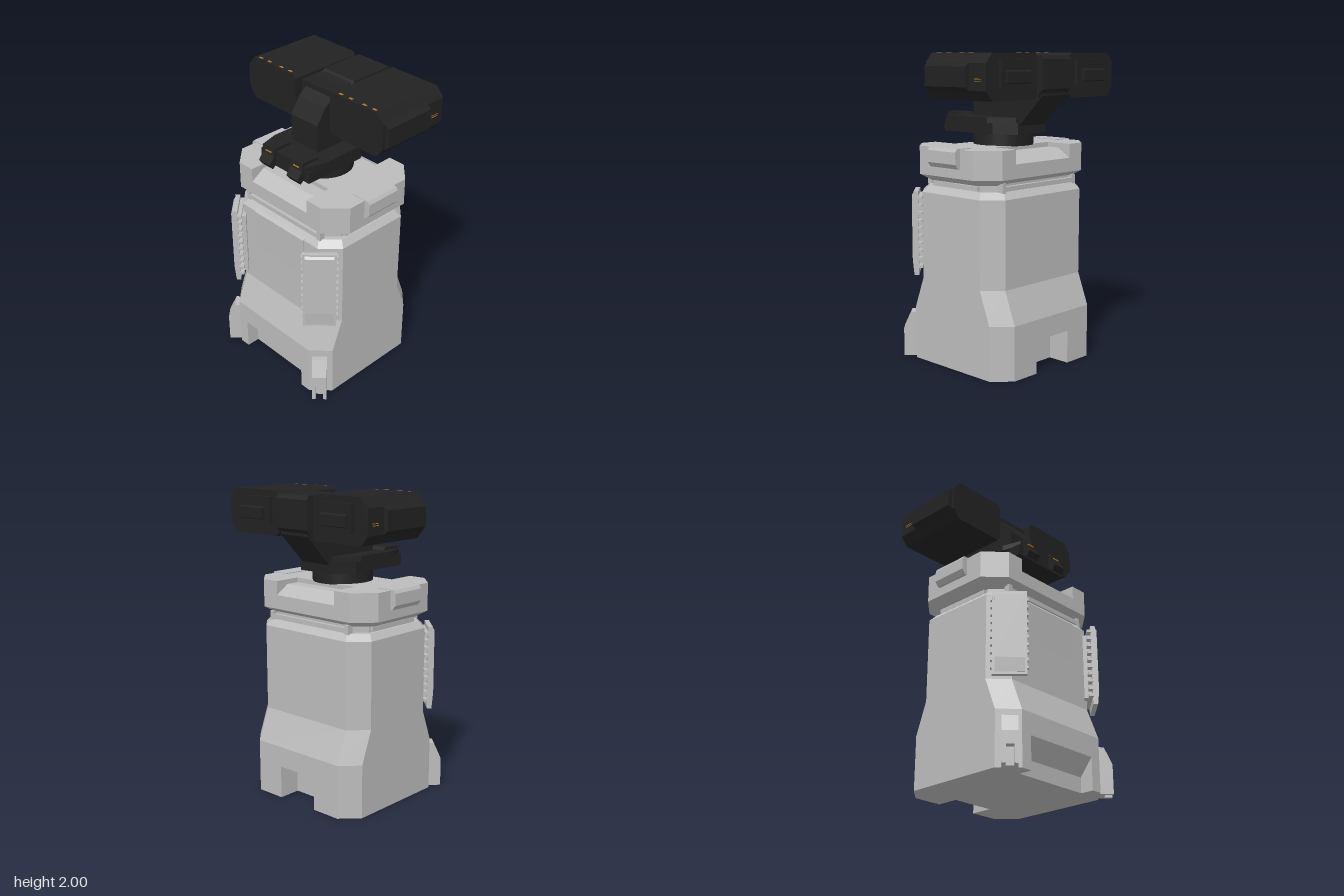
import * as THREE from 'three';

const mat = (name, color, side = THREE.FrontSide) => {
  const m = new THREE.MeshStandardMaterial({ color, side });
  m.name = name;
  return m;
};

export function createModel() {
  const root = new THREE.Group();
  root.name = 'sentryTurret';
  const grey = mat('light grey', 0xbcbcbc);
  const dark = mat('charcoal', 0x222222);
  const amber = mat('amber', 0xb5791f);

  const add = (name, geo, material, parent = root) => {
    const m = new THREE.Mesh(geo, material);
    m.name = name;
    parent.add(m);
    return m;
  };
  // box given by its min and max corners
  const box = (name, x0, x1, y0, y1, z0, z1, material, parent) => add(name,
    new THREE.BoxGeometry(Math.abs(x1 - x0), y1 - y0, z1 - z0)
      .translate((x0 + x1) / 2, (y0 + y1) / 2, (z0 + z1) / 2), material, parent);
  const extrude = (pts, depth) => new THREE.ExtrudeGeometry(
    new THREE.Shape(pts.map(p => new THREE.Vector2(p[0], p[1]))), { depth, bevelEnabled: false });
  // plan outline (x, z) raised from y0 to y1
  const slab = (pts, y0, y1) => extrude(pts, y1 - y0).rotateX(Math.PI / 2).translate(0, y1, 0);
  // side profile (z, y) spread over width w, centred on x
  const profile = (pts, w, x = 0) => extrude(pts, w).rotateY(-Math.PI / 2).translate(x + w / 2, 0, 0);
  // chamfered rectangle in plan
  const octagon = (hx, hz, c) => [
    [hx, -hz + c], [hx, hz - c], [hx - c, hz], [-hx + c, hz],
    [-hx, hz - c], [-hx, -hz + c], [-hx + c, -hz], [hx - c, -hz]];
  // octagon sections [y, hx, hz, chamfer] joined into a closed solid
  const loft = sections => {
    const pos = [], idx = [];
    sections.forEach(([y, hx, hz, c]) => octagon(hx, hz, c).forEach(([x, z]) => pos.push(x, y, z)));
    for (let s = 0; s < sections.length - 1; s++) {
      for (let i = 0; i < 8; i++) {
        const a = s * 8 + i, b = s * 8 + (i + 1) % 8;
        idx.push(a, a + 8, b, b, a + 8, b + 8);
      }
    }
    const t = (sections.length - 1) * 8;
    for (let i = 1; i < 7; i++) idx.push(0, i, i + 1, t, t + i + 1, t + i);
    const g = new THREE.BufferGeometry();
    g.setAttribute('position', new THREE.Float32BufferAttribute(pos, 3));
    g.setIndex(idx);
    const flat = g.toNonIndexed();
    flat.computeVertexNormals();
    return flat;
  };
  // octagon outline with a notch in its front and back edge
  const notched = (hx, hz, c, fw, fz, bw, bz) => {
    const o = octagon(hx, hz, c);
    return [o[0], o[1], o[2], [fw, hz], [fw, fz], [-fw, fz], [-fw, hz],
      o[3], o[4], o[5], o[6], [-bw, -hz], [-bw, -bz], [bw, -bz], [bw, -hz], o[7]];
  };

  // Pedestal: notched foot and flared body
  add('base', slab(notched(0.46, 0.45, 0.11, 0.275, 0.36, 0.15, 0.3), 0, 0.215), grey);
  add('baseFrontCeiling', profile([[0.36, 0.1], [0.449, 0.21], [0.449, 0.216], [0.36, 0.216]], 0.55), grey);
  add('body', loft([[0.215, 0.46, 0.45, 0.11], [0.35, 0.46, 0.45, 0.11],
    [0.56, 0.46, 0.37, 0.11], [1.12, 0.46, 0.37, 0.11], [1.16, 0.425, 0.335, 0.1]]), grey);
  add('frontPanel', profile([[0.365, 0.85], [0.37, 0.85], [0.377, 1.12], [0.345, 1.145], [0.33, 1.145]], 0.46), grey);

  // Neck with raised frames
  add('neck', loft([[1.155, 0.4, 0.315, 0.1], [1.225, 0.4, 0.315, 0.1]]), grey);
  for (const s of [-1, 1]) {
    box('neckRail', -0.31, 0.31, 1.165, 1.195, s * 0.325 - 0.015, s * 0.325 + 0.015, grey);
    box('neckRail', s * 0.39, s * 0.42, 1.165, 1.195, -0.2, 0.2, grey);
    for (const x of [-0.325, 0.325]) {
      box('neckPost', x - 0.015, x + 0.015, 1.155, 1.215, s * 0.32 - 0.02, s * 0.32 + 0.02, grey);
    }
  }

  // Cap with sloped front and back cut-outs
  add('capBase', loft([[1.2, 0.43, 0.3, 0.1], [1.24, 0.495, 0.365, 0.125], [1.33, 0.495, 0.365, 0.125]]), grey);
  add('capTop', slab(notched(0.495, 0.365, 0.125, 0.25, 0.18, 0.25, 0.18), 1.33, 1.42), grey);
  for (const s of [-1, 1]) {
    add('capSlope', profile([[s * 0.364, 1.33], [s * 0.27, 1.39], [s * 0.17, 1.39], [s * 0.17, 1.33]], 0.5), grey);
    add('capSidePlate', extrude([[s * 0.4, 1.3], [s * 0.51, 1.3], [s * 0.535, 1.33],
      [s * 0.535, 1.405], [s * 0.52, 1.425], [s * 0.4, 1.425]], 0.25).translate(0, 0, -0.13), grey);
  }

  // Diagonal corner panels and feet
  for (const s of [-1, 1]) {
    const corner = new THREE.Group();
    corner.name = 'frontCorner';
    corner.rotation.y = s * Math.PI / 4;
    root.add(corner);
    box('panelMount', -0.07, 0.07, 0.62, 1.06, 0.49, 0.55, grey, corner);
    box('panel', -0.105, 0.105, 0.565, 1.115, 0.54, 0.57, grey, corner);
    add('panelFace', profile([[0.569, 0.58], [0.574, 0.58], [0.582, 0.67], [0.582, 1.09], [0.569, 1.105]], 0.18), grey, corner);
    for (let i = 0; i < 10; i++) {
      const y = 0.615 + i * 0.05;
      box('panelRib', -0.115, 0.115, y, y + 0.018, 0.515, 0.545, grey, corner);
    }
    add('foot', profile([[0.53, 0.11], [0.65, 0.11], [0.65, 0.19], [0.6, 0.3], [0.53, 0.3]], 0.095), grey, corner);
    for (const t of [-1, 1]) {
      box('footCheek', t * 0.0475, t * 0.024, 0, 0.112, 0.53, 0.65, grey, corner);
    }
    box('footCore', -0.03, 0.03, 0, 0.112, 0.53, 0.6, grey, corner);
  }

  // Swivel and platform
  add('swivel', new THREE.CylinderGeometry(0.195, 0.195, 0.09, 32).translate(0, 1.46, -0.015), dark);
  add('platform', slab([[0.215, -0.13], [0.215, 0.31], [-0.215, 0.31], [-0.215, -0.13],
    [-0.13, -0.265], [0.13, -0.265]], 1.495, 1.57), dark);
  add('platformLip', slab([[0.235, -0.1], [0.235, 0.18], [0.2, 0.31], [-0.2, 0.31],
    [-0.235, 0.18], [-0.235, -0.1], [-0.13, -0.25], [0.13, -0.25]], 1.565, 1.6), dark);
  for (const s of [-1, 1]) {
    add('frontHook', profile([[0.18, 1.59], [0.2, 1.62], [0.32, 1.62], [0.33, 1.57], [0.365, 1.52],
      [0.34, 1.485], [0.3, 1.52], [0.18, 1.55]], 0.1, s * 0.125), dark);
    box('hookMark', s * 0.1, s * 0.15, 1.585, 1.592, 0.327, 0.332, amber);
  }

  // Leaning arm
  add('arm', profile([[0.14, 1.58], [0.145, 1.78], [0.08, 1.88], [0, 1.94], [-0.14, 1.975],
    [-0.45, 1.975], [-0.45, 1.74], [-0.265, 1.55], [-0.2, 1.55]], 0.23), dark);
  add('armHead', profile([[-0.12, 1.8], [-0.12, 1.96], [-0.15, 1.985], [-0.455, 1.985],
    [-0.47, 1.96], [-0.47, 1.78], [-0.43, 1.735]], 0.26), dark);
  box('axle', -0.17, 0.17, 1.82, 1.96, -0.4, 0.02, dark);

  // Twin pods
  for (const s of [-1, 1]) {
    const pod = new THREE.Group();
    pod.name = 'pod';
    root.add(pod);
    add('podShell', extrude([[0.15, 1.74], [0.17, 1.72], [0.53, 1.72], [0.58, 1.78], [0.58, 1.94],
      [0.53, 2], [0.17, 2], [0.15, 1.98]].map(([x, y]) => [s * x, y]), 0.515).translate(0, 0, -0.44), dark);
    add('podSidePlate', extrude([[0.57, 1.77], [0.61, 1.8], [0.61, 1.92], [0.57, 1.95]]
      .map(([x, y]) => [s * x, y]), 0.355).translate(0, 0, -0.3), dark);
    box('podRearPanel', s * 0.2, s * 0.48, 1.79, 1.96, -0.465, -0.43, dark, pod);
    add('podRearBlock', profile([[-0.44, 1.81], [-0.485, 1.825], [-0.485, 1.89], [-0.44, 1.91]], 0.205, s * 0.347), dark, pod);
    // small painted marks
    for (const x of [0.22, 0.3, 0.41, 0.49]) {
      box('podTopMark', s * (x - 0.015), s * (x + 0.015), 1.998, 2.001, 0.045, 0.06, amber, pod);
    }
    for (const y of [1.835, 1.847]) {
      box('podSideMark', s * 0.578, s * 0.582, y, y + 0.004, -0.4, -0.345, amber, pod);
    }
  }
  return root;
}
